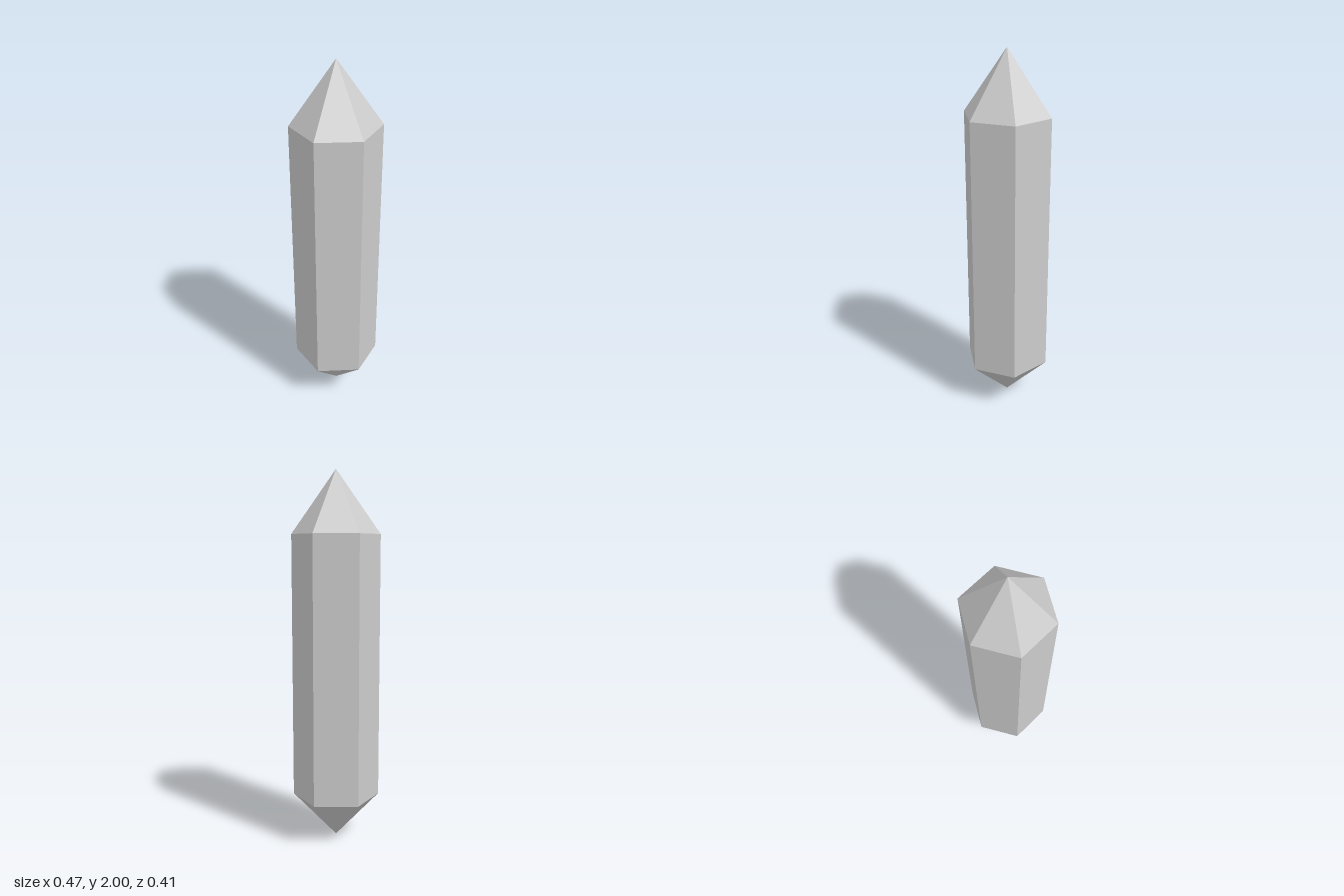
import * as THREE from 'three';

const RADIUS = 0.236;
const LOWER = 0.238; // height where the bottom point meets the shaft
const UPPER = 1.667; // height where the shaft meets the top point
const TOP = 2;

export function createModel() {
  const crystal = new THREE.Group();
  crystal.name = 'crystal';
  const material = new THREE.MeshStandardMaterial({ color: 0xcccccc, flatShading: true });

  // One open six-sided section, with corners on the x axis
  function addSection(name, bottomRadius, topRadius, y0, y1) {
    const geometry = new THREE.CylinderGeometry(
      topRadius, bottomRadius, y1 - y0, 6, 1, true, Math.PI / 2);
    geometry.translate(0, (y0 + y1) / 2, 0);
    const mesh = new THREE.Mesh(geometry, material);
    mesh.name = name;
    crystal.add(mesh);
  }

  addSection('bottomPoint', 0, RADIUS, 0, LOWER);
  addSection('shaft', RADIUS, RADIUS, LOWER, UPPER);
  addSection('topPoint', RADIUS, 0, UPPER, TOP);

  return crystal;
}
